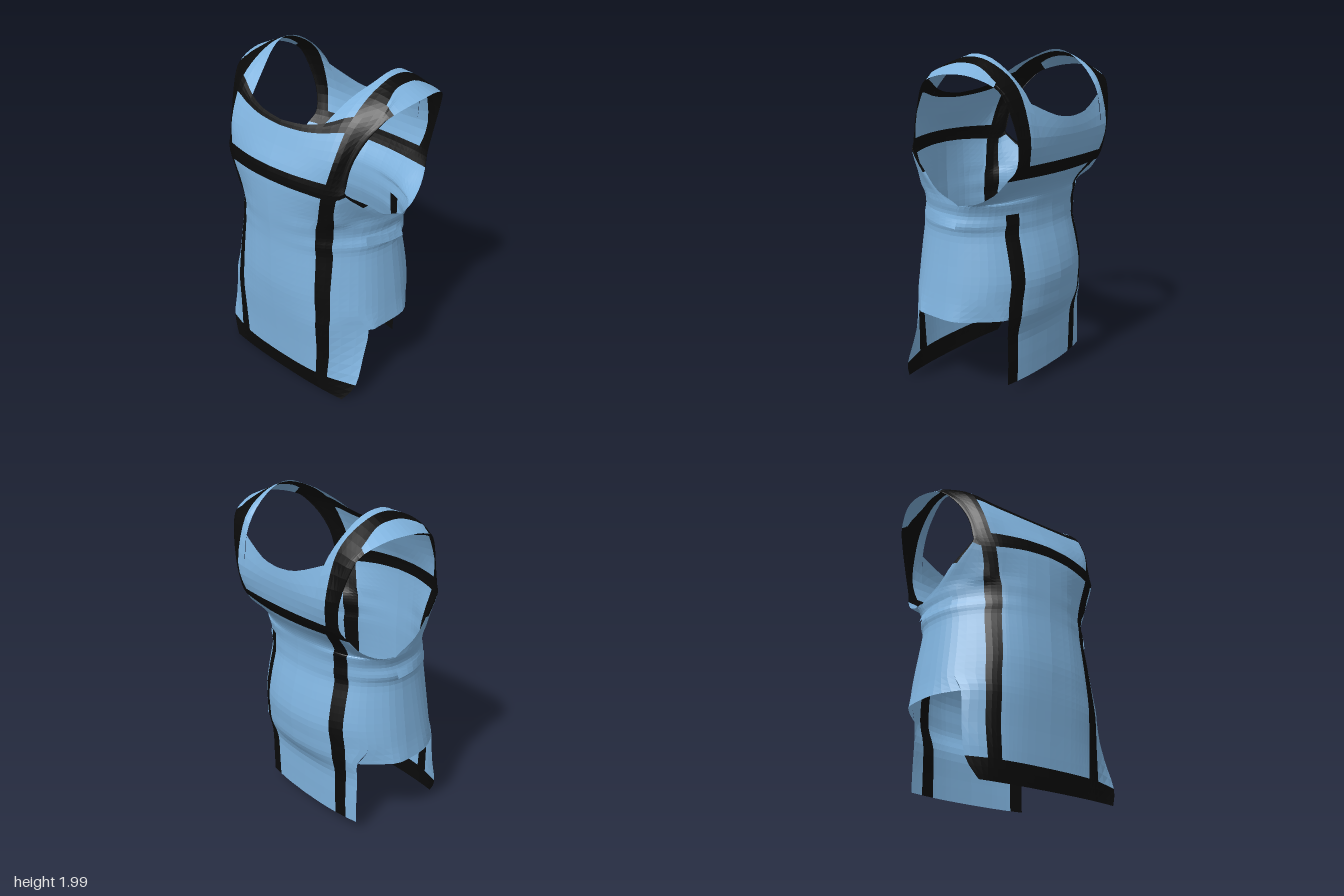
import * as THREE from 'three';

const V = (x, y, z) => new THREE.Vector3(x, y, z);
const fabric = new THREE.MeshStandardMaterial({ color: 0x7fb2dd, flatShading: true, side: THREE.DoubleSide });
const trim = new THREE.MeshStandardMaterial({ color: 0x0a0a0a, flatShading: true, side: THREE.DoubleSide });
const SUB = 3;      // subdivisions of each patch
const ALL = '0123456', STRAP = '3456';

// Smooth curve through b and c, with open ends where a or d is missing
function spline(a, b, c, d, t) {
  if (!b || !c) return null;
  a = a || b; d = d || c;
  const f = k => {
    const m0 = (c[k] - a[k]) / 2, m1 = (d[k] - b[k]) / 2;
    return (2 * t ** 3 - 3 * t * t + 1) * b[k] + (t ** 3 - 2 * t * t + t) * m0
      + (3 * t * t - 2 * t ** 3) * c[k] + (t ** 3 - t * t) * m1;
  };
  return V(f('x'), f('y'), f('z'));
}

// Adds the subdivided patch between rows i, i+1 and columns j, j+1
function addPatch(out, grid, i, j, flip) {
  const at = (u, v) => {
    const q = [-1, 0, 1, 2].map(k => {
      const r = grid[i + k];
      return r ? spline(r[j - 1], r[j], r[j + 1], r[j + 2], u) : null;
    });
    return spline(...q, v);
  };
  for (let a = 0; a < SUB; a++) for (let b = 0; b < SUB; b++) {
    const p = at(a / SUB, b / SUB), q = at((a + 1) / SUB, b / SUB);
    const r = at((a + 1) / SUB, (b + 1) / SUB), s = at(a / SUB, (b + 1) / SUB);
    const tri = flip ? [p, r, q, p, s, r] : [p, q, r, p, r, s];
    tri.forEach(v => out.push(v.x, v.y, v.z));
  }
}

function toMesh(name, positions, material) {
  const g = new THREE.BufferGeometry();
  g.setAttribute('position', new THREE.Float32BufferAttribute(positions, 3));
  g.computeVertexNormals();
  const m = new THREE.Mesh(g, material);
  m.name = name;
  return m;
}

// Body row: rounded cross-section of exponent n, columns run from the centre to the
// side seam at z = seam. flapX is the column at the slit; flap rows stop there
// (0 = stop at the stripe).
function body(y, w, depth, n, stripe, flapX, isFlap, seam = 0) {
  const xs = [0, 0.15, 0.24, stripe, stripe + 0.08, flapX, 0.97 * w, w];
  return xs.map((x, j) => (isFlap && (j > 5 || (j === 5 && !flapX))) ? null
    : V(x, y, seam + (depth - seam) * Math.pow(Math.max(0, 1 - (x / w) ** n), 1 / n)));
}

// Chest row: centre c, stripe s to t, armhole edge e
function chest(c, s, t, e, neckX = 0.28) {
  const [C, S, T, E] = [c, s, t, e].map(p => V(...p));
  const bow = x => {
    const f = (x / S.x) ** 2;
    return V(x, C.y + (S.y - C.y) * f, C.z + (S.z - C.z) * f);
  };
  const out = f => T.clone().lerp(E, f).add(V(0.012 * Math.min(1, 10 * T.distanceTo(E)), 0, 0));
  return [C, bow(0.15), bow(neckX), S, T, out(0.5), out(0.8), E];
}

// Shoulder row: no centre columns
function shoulder(n, s, t, e) {
  const T = V(...t), E = V(...e);
  return [null, null, V(...n), V(...s), T, T.clone().lerp(E, 0.4), T.clone().lerp(E, 0.75), E];
}

// Rows of one half, from the front hem over the shoulder to the back hem.
// Each entry: part, columns that are black up to the next row, points
function halfRows(side) {
  const rows = [];
  const add = (part, black, pts) => rows.push([part, black, pts]);
  const d = 0.03 * side;

  // front flap and front body
  add('front', ALL, body(0.01, 1.0, 0.415, 2.5, 0.3, 0.465 + d, true));
  add('front', '3', body(0.13, 0.76, 0.428, 2.5, 0.3, 0.53 + d, true));
  add('front', '3', body(0.32, 0.64, 0.443, 2.5, 0.31, 0.53 + d, true));
  const bodyRows = [ // y, half width, front depth, back depth, stripe, front exponent, seam z
    [0.5, 0.6, 0.46, -0.385, 0.31, 2.5, 0], [0.6, 0.582, 0.468, -0.4, 0.31, 2.35, 0],
    [0.72, 0.565, 0.475, -0.41, 0.3, 2.2, 0], [0.86, 0.545, 0.472, -0.385, 0.295, 2.1, 0],
    [0.99, 0.53, 0.468, -0.35, 0.29, 2, 0], [1.05, 0.54, 0.468, -0.343, 0.285, 2, -0.02],
    [1.11, 0.525, 0.47, -0.34, 0.285, 2, -0.04], [1.17, 0.538, 0.473, -0.345, 0.29, 2.05, -0.07]];
  bodyRows.forEach(([y, w, f, , s, n, seam]) =>
    add('front', '3', body(y, w, f, n, s, 0.88 * w + (y < 0.55 ? d : 0), false, seam)));

  // front chest with armhole, chest band and neck band
  add('front', '3', chest([0, 1.235, 0.475], [0.305, 1.23, 0.392], [0.385, 1.22, 0.345], [0.525, 1.235, 0.09]));
  add('front', '36', chest([0, 1.32, 0.476], [0.32, 1.3, 0.4], [0.395, 1.3, 0.36], [0.505, 1.33, 0.2]));
  add('front', ALL, chest([0, 1.42, 0.474], [0.345, 1.4, 0.41], [0.42, 1.4, 0.37], [0.46, 1.43, 0.33]));
  add('front', STRAP, chest([0, 1.5, 0.462], [0.37, 1.49, 0.395], [0.43, 1.48, 0.355], [0.456, 1.48, 0.33]));
  add('front', STRAP, chest([0, 1.61, 0.41], [0.395, 1.62, 0.365], [0.445, 1.61, 0.32], [0.467, 1.6, 0.3]));
  add('front', ALL, chest([0, 1.71, 0.365], [0.41, 1.77, 0.295], [0.48, 1.74, 0.26], [0.505, 1.72, 0.245]));
  add('shoulder', STRAP, chest([0, 1.737, 0.35], [0.42, 1.845, 0.235], [0.52, 1.82, 0.19], [0.555, 1.82, 0.17]));

  // shoulder strap
  add('shoulder', '3', shoulder([0.325, 1.89, 0.165], [0.425, 1.92, 0.13], [0.53, 1.9, 0.11], [0.582, 1.86, 0.11]));
  add('shoulder', '3', shoulder([0.38, 1.965, 0.03], [0.43, 1.97, 0.01], [0.5, 1.945, 0], [0.61, 1.89, 0]));
  add('shoulder', '3', shoulder([0.4, 2.0, -0.08], [0.43, 1.985, -0.09], [0.5, 1.955, -0.1], [0.62, 1.9, -0.11]));
  add('shoulder', '3', shoulder([0.39, 1.975, -0.2], [0.43, 1.965, -0.2], [0.5, 1.935, -0.2], [0.605, 1.89, -0.22]));
  add('shoulder', STRAP, shoulder([0.375, 1.88, -0.33], [0.42, 1.89, -0.33], [0.53, 1.86, -0.33], [0.565, 1.84, -0.34]));

  // back chest with armhole and back band
  add('back', STRAP, chest([0, 1.65, -0.468], [0.41, 1.78, -0.41], [0.495, 1.77, -0.405], [0.53, 1.76, -0.39], 0.35));
  add('back', STRAP, chest([0, 1.55, -0.475], [0.4, 1.57, -0.462], [0.45, 1.57, -0.44], [0.472, 1.57, -0.425], 0.32));
  add('back', ALL, chest([0, 1.41, -0.455], [0.37, 1.41, -0.435], [0.425, 1.41, -0.42], [0.45, 1.41, -0.41]));
  const upper = side < 0 ? '3' : '';
  add('back', upper, chest([0, 1.33, -0.42], [0.32, 1.33, -0.39], [0.41, 1.33, -0.375], [0.475, 1.33, -0.36]));
  add('back', upper, chest([0, 1.26, -0.375], [0.295, 1.25, -0.33], [0.375, 1.24, -0.3], [0.5, 1.25, -0.29]));
  add('back', upper, chest([0, 1.21, -0.352], [0.285, 1.2, -0.305], [0.365, 1.19, -0.272], [0.525, 1.19, -0.18]));

  // back body and back flap
  [...bodyRows].reverse().forEach(([y, w, , b, s, , seam]) =>
    add('back', y > 1.12 ? upper : '3', body(y, w, b, 2.05, s - 0.01, 0.84 * w - (y < 0.55 ? 0.06 : 0), false, seam)));
  const flapEdge = side < 0 ? 0.44 : 0;
  add('back', '3', body(0.38, 0.68, -0.325, 2.2, 0.285, flapEdge, true));
  add('back', '3', body(0.22, 0.75, -0.315, 2.2, 0.28, flapEdge, true));
  add('back', '', body(0.08, 0.78, -0.31, 2.2, 0.28, flapEdge, true));
  return rows;
}

export function createModel() {
  const vest = new THREE.Group();
  vest.name = 'vest';

  for (const side of [1, -1]) {
    const label = side > 0 ? 'left' : 'right';
    const rows = halfRows(side);
    const grid = rows.map(r => r[2].map(p => p && V(p.x * side, p.y, p.z)));
    const parts = {};
    for (let i = 0; i < rows.length - 1; i++) {
      const [part, black] = rows[i];
      parts[part] = parts[part] || { fabric: [], trim: [] };
      for (let j = 0; j < 7; j++) {
        const corners = [grid[i][j], grid[i][j + 1], grid[i + 1][j], grid[i + 1][j + 1]];
        if (corners.some(p => !p)) continue;
        addPatch(parts[part][black.includes(j) ? 'trim' : 'fabric'], grid, i, j, side < 0);
      }
    }
    for (const [part, p] of Object.entries(parts)) {
      const g = new THREE.Group();
      g.name = `${label} ${part}`;
      g.add(toMesh(`${part} fabric`, p.fabric, fabric), toMesh(`${part} trim`, p.trim, trim));
      vest.add(g);
    }

    // loose fold of cloth under the armhole
    const fold = [
      [V(0.505, 1.06, 0.2), V(0.555, 1.05, 0.06), V(0.56, 1.04, -0.06)],
      [V(0.5, 1.12, 0.2), V(0.545, 1.1, 0.06), V(0.54, 1.09, -0.06)]
    ].map(r => r.map(p => V(p.x * side, p.y, p.z)));
    const cells = [];
    for (let j = 0; j < 2; j++) addPatch(cells, fold, 0, j, side < 0);
    vest.add(toMesh(`${label} side fold`, cells, fabric));
  }
  return vest;
}
